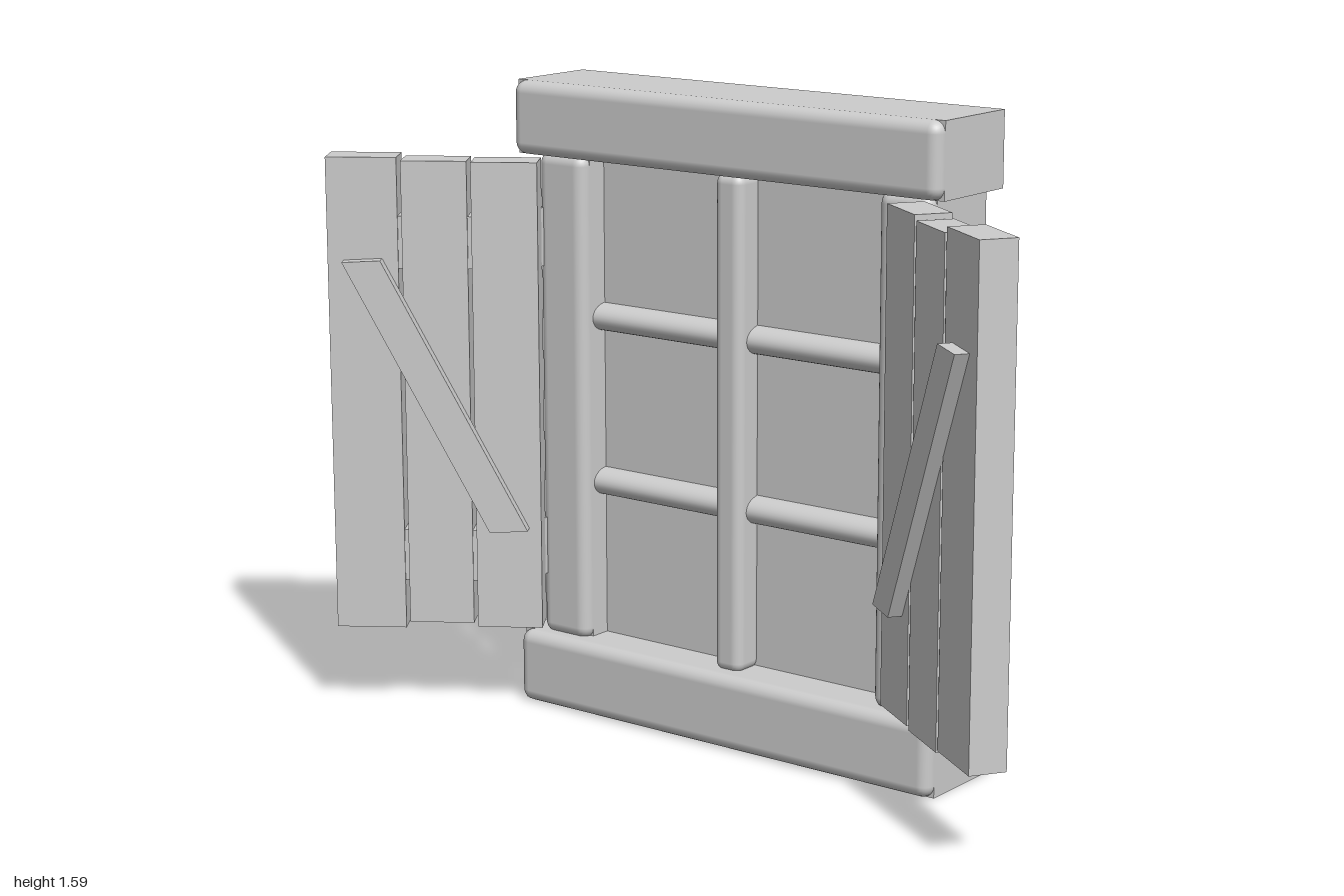
import * as THREE from 'three';
import { RoundedBoxGeometry } from 'three/addons/geometries/RoundedBoxGeometry.js';

export function createModel() {
  const root = new THREE.Group();
  root.name = 'shutteredWindow';
  const grey = new THREE.MeshStandardMaterial({ color: 0xcccccc });
  grey.name = 'plainGrey';
  const greyThin = grey;
  greyThin.side = THREE.DoubleSide;

  function add(parent, name, geometry) {
    const mesh = new THREE.Mesh(geometry, grey);
    mesh.name = name;
    parent.add(mesh);
    return mesh;
  }
  // Box given by its limits
  function box(parent, name, x0, x1, y0, y1, z0, z1) {
    const m = add(parent, name, new THREE.BoxGeometry(Math.abs(x1 - x0), y1 - y0, z1 - z0));
    m.position.set((x0 + x1) / 2, (y0 + y1) / 2, (z0 + z1) / 2);
    return m;
  }
  // Beam with a rounded front and a square back
  function beam(name, x0, x1, y0, y1, z0, z1, r) {
    const g = new THREE.Group();
    g.name = name;
    root.add(g);
    const m = add(g, name + 'Front', new RoundedBoxGeometry(x1 - x0, y1 - y0, z1 - z0, 3, r));
    m.position.set((x0 + x1) / 2, (y0 + y1) / 2, (z0 + z1) / 2);
    box(g, name + 'Back', x0, x1, y0, y1, z0, z1 - r);
  }

  // Outer frame
  const back = -0.315, paneZ = -0.18;
  beam('lintel', -0.625, 0.625, 1.408, 1.59, back, -0.04, 0.03);
  beam('sill', -0.625, 0.625, 0, 0.188, back, -0.04, 0.03);
  beam('rightJamb', -0.58, -0.435, 0.18, 1.415, back, -0.08, 0.03);
  beam('leftJamb', 0.435, 0.58, 0.18, 1.415, back, -0.08, 0.03);
  box(root, 'topRail', -0.44, 0.44, 1.39, 1.41, back, paneZ);
  box(root, 'bottomRail', -0.44, 0.44, 0.18, 0.2, back, paneZ);

  // Pane
  box(root, 'pane', -0.44, 0.44, 0.18, 1.41, paneZ - 0.003, paneZ + 0.015);

  // Glazing bars: rounded in front, hollow behind
  const barY = [0.585, 1.005], halfH = 0.035, halfW = 0.04, t = 0.002;
  const halfRound = (length, half, depth) => new THREE.CylinderGeometry(half, half, length, 16, 1, false, -Math.PI / 2, Math.PI)
    .scale(1, 1, depth / half);
  const upright = add(root, 'uprightBar', new RoundedBoxGeometry(halfW * 2, 1.23, 0.09, 3, 0.025));
  upright.position.set(0, 0.795, -0.135);
  for (const y of barY) {
    const bar = add(root, 'crossBar', halfRound(0.87, halfH, 0.05));
    bar.rotation.z = Math.PI / 2;
    bar.position.set(0, y, paneZ + 0.012);
    for (const s of [-1, 1]) {
      for (const e of [-halfH, halfH]) {
        box(root, 'crossBarWall', s * halfW, s * 0.435, y + e - t, y + e + t, back, paneZ);
      }
    }
  }
  const rows = [[0.2, barY[0] - halfH], [barY[0] + halfH, barY[1] - halfH], [barY[1] + halfH, 1.39]];
  for (const [y0, y1] of rows) {
    for (const s of [-1, 1]) box(root, 'uprightBarWall', s * halfW - t, s * halfW + t, y0, y1, back, paneZ);
  }

  // Shutters, each swung open on its hinges
  const boards = [[0, 0.163], [0.173, 0.335], [0.345, 0.52]];
  const heights = {
    1: [[0.225, 1.402], [0.218, 1.39], [0.225, 1.405]],
    [-1]: [[0.22, 1.4], [0.23, 1.402], [0.215, 1.41]],
  };
  for (const s of [1, -1]) {
    const shutter = new THREE.Group();
    shutter.name = s > 0 ? 'leftShutter' : 'rightShutter';
    shutter.position.set(s * 0.565, 0, -0.08);
    shutter.rotation.y = -s * THREE.MathUtils.degToRad(34);
    root.add(shutter);
    boards.forEach(([u0, u1], i) => {
      const [y0, y1] = heights[s][i];
      box(shutter, 'board', s * u0, s * u1, y0, y1, 0, 0.09);
    });
    // Battens joining the boards
    for (const y of [0.405, 1.2]) box(shutter, 'batten', s * 0.01, s * 0.51, y - 0.065, y + 0.065, 0.01, 0.086);
    // Diagonal brace
    const shape = new THREE.Shape([[0.03, 0.48], [0.125, 0.475], [0.48, 1.155], [0.385, 1.16]]
      .map(([u, y]) => new THREE.Vector2(s * u, y)));
    add(shutter, 'brace', new THREE.ExtrudeGeometry(shape, { depth: 0.037, bevelEnabled: false })).position.z = 0.088;
    // Hinges
    for (const y of [0.412, 1.203]) box(root, 'hinge', s * 0.56, s * 0.61, y - 0.073, y + 0.073, -0.095, -0.06);
  }
  return root;
}
